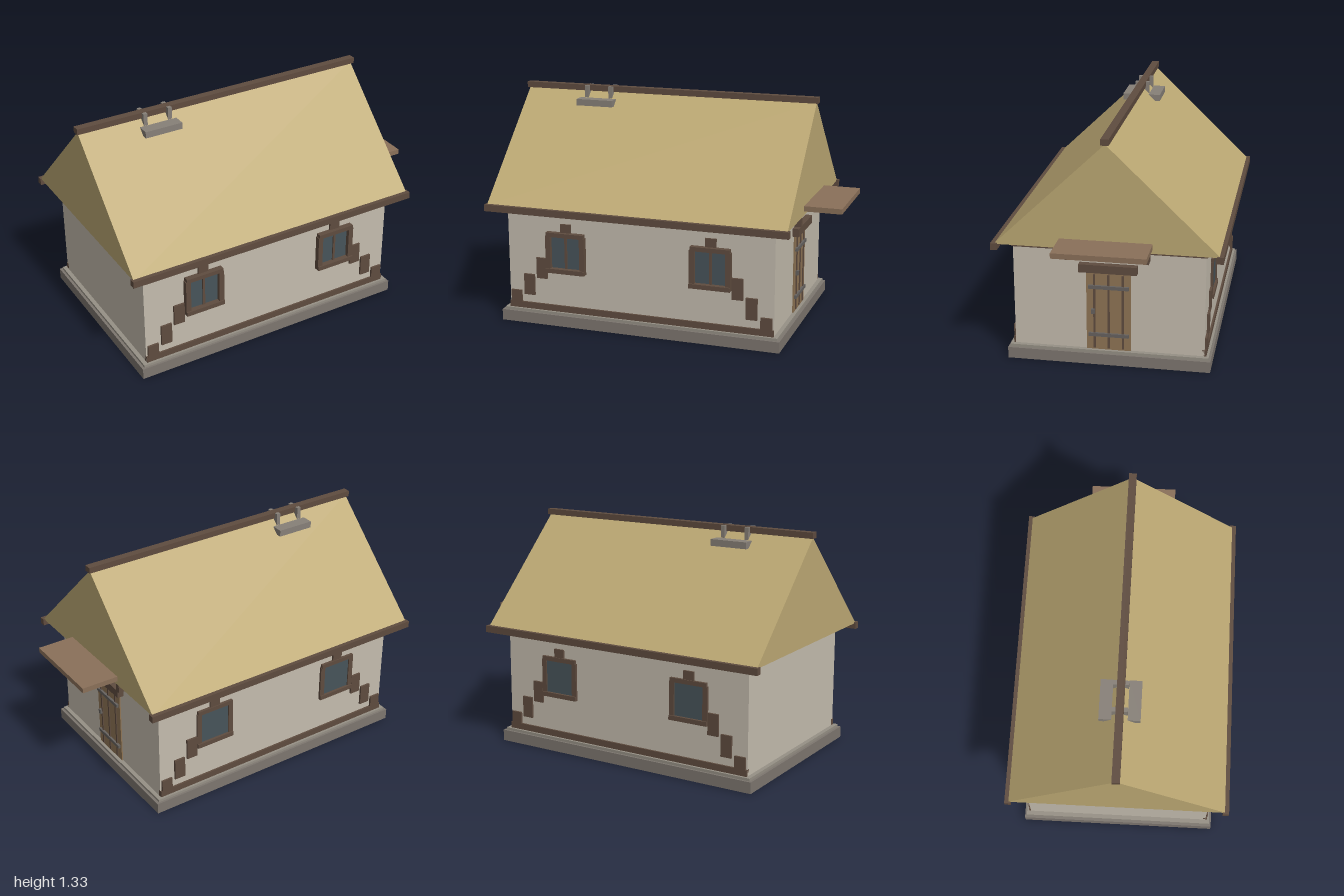
import * as THREE from 'three';

const mat = (color) => {
  const m = new THREE.MeshStandardMaterial();
  m.color.set(color);
  return m;
};

export function createModel() {
  const house = new THREE.Group();
  house.name = 'cottage';
  const wood = mat(0x5f4c3f), plaster = mat(0xc4bcae), stone = mat(0x7d766f), lip = mat(0x969085);
  const thatch = mat(0xbca873), plank = mat(0x8f7555), canopyWood = mat(0x8a7059);
  const glass = mat(0x47545a), iron = mat(0x66625f), weight = mat(0x878078);
  const CX = -0.1; // centre of the house along x

  // Box given by its lower and upper limits on each axis
  const box = (name, m, x0, x1, y0, y1, z0, z1, parent = house) => {
    const mesh = new THREE.Mesh(new THREE.BoxGeometry(x1 - x0, y1 - y0, z1 - z0), m);
    mesh.position.set((x0 + x1) / 2, (y0 + y1) / 2, (z0 + z1) / 2);
    mesh.name = name;
    parent.add(mesh);
    return mesh;
  };

  // Foundation and walls
  box('foundation', stone, -0.94, 0.74, 0, 0.065, -0.572, 0.572);
  box('foundationLip', lip, -0.925, 0.725, 0.065, 0.08, -0.56, 0.56);
  box('walls', plaster, -0.9, 0.7, 0.08, 0.69, -0.535, 0.535);
  box('wallPlate', wood, -0.905, 0.71, 0.667, 0.705, -0.543, 0.543);

  // Thatched gable roof, extruded along x
  const gable = new THREE.Shape([
    new THREE.Vector2(-0.62, 0.705),
    new THREE.Vector2(0.62, 0.705),
    new THREE.Vector2(0, 1.3),
  ]);
  const roof = new THREE.Mesh(
    new THREE.ExtrudeGeometry(gable, { depth: 1.775, bevelEnabled: false }), thatch);
  roof.rotation.y = Math.PI / 2;
  roof.position.x = -0.99;
  roof.name = 'roof';
  house.add(roof);
  box('ridgeBeam', wood, -1, 0.797, 1.296, 1.33, -0.022, 0.022);

  // Weights hung over the ridge
  const saddle = new THREE.Group();
  saddle.name = 'ridgeWeight';
  house.add(saddle);
  for (const x of [-0.603, -0.453])
    box('strap', weight, x - 0.012, x + 0.012, 1.255, 1.329, -0.043, 0.043, saddle);

  // Window with frame, panes and a short king block, facing +z
  const addWindow = (parent, x, z, depth, mullion) => {
    const w = new THREE.Group();
    w.name = 'window';
    w.position.set(x, 0, z);
    parent.add(w);
    box('pane', glass, -0.095, 0.095, 0.345, 0.54, -0.01, 0.006, w);
    box('sill', wood, -0.12, 0.12, 0.32, 0.346, -0.01, depth + 0.005, w);
    box('head', wood, -0.115, 0.115, 0.535, 0.56, -0.01, depth, w);
    for (const s of [-1, 1])
      box('jamb', wood, s * 0.105 - 0.015, s * 0.105 + 0.015, 0.34, 0.54, -0.01, depth - 0.003, w);
    if (mullion) box('mullion', wood, -0.007, 0.007, 0.345, 0.54, -0.01, 0.014, w);
    box('kingBlock', wood, -0.032, 0.032, 0.56, 0.61, -0.01, 0.011, w);
  };

  // Long sides: the back is the front turned half round
  for (const side of [1, -1]) {
    const face = new THREE.Group();
    face.name = side > 0 ? 'frontSide' : 'backSide';
    face.position.x = CX;
    if (side < 0) face.rotation.y = Math.PI;
    house.add(face);
    box('sillBeam', wood, -0.8, 0.8, 0.08, 0.117, 0.52, 0.546, face);
    for (const s of [-1, 1]) {
      addWindow(face, s * 0.435, 0.535, side > 0 ? 0.033 : 0.016, side > 0);
      // Stepped brace timbers
      for (const [x, y0, y1] of [[0.757, 0.115, 0.185], [0.672, 0.165, 0.29], [0.59, 0.272, 0.396]])
        box('braceBlock', wood, s * x - 0.033, s * x + 0.033, y0, y1, 0.52, 0.547, face);
    }
    const a = side > 0 ? 0.6 : -0.636;
    box('eaveBeam', wood, -1, 0.797, 0.673, 0.712, a, a + 0.036);
    const b = side > 0 ? 0.043 : -0.113;
    box('weightBlock', weight, -0.64, -0.415, 1.22, 1.258, b, b + 0.07, saddle);
  }

  // Door in the right-hand end
  const door = new THREE.Group();
  door.name = 'door';
  house.add(door);
  box('doorPanel', plank, 0.68, 0.707, 0.08, 0.547, -0.125, 0.125, door);
  for (const z of [-0.08, 0, 0.08])
    box('doorBatten', wood, 0.7, 0.713, 0.09, 0.532, z - 0.006, z + 0.006, door);
  for (const y of [0.172, 0.458])
    box('hingeStrap', iron, 0.7, 0.72, y - 0.01, y + 0.01, -0.113, 0.113, door);
  box('handle', iron, 0.7, 0.725, 0.3, 0.327, 0.077, 0.097, door);
  box('lintel', wood, 0.68, 0.738, 0.55, 0.597, -0.162, 0.162, door);

  // Canopy board and its brackets
  box('canopy', canopyWood, 0.7, 1, 0.73, 0.76, -0.255, 0.255);
  for (const z of [-0.215, 0.215])
    box('canopyBracket', wood, 0.69, 0.766, 0.63, 0.705, z - 0.016, z + 0.016);

  return house;
}
